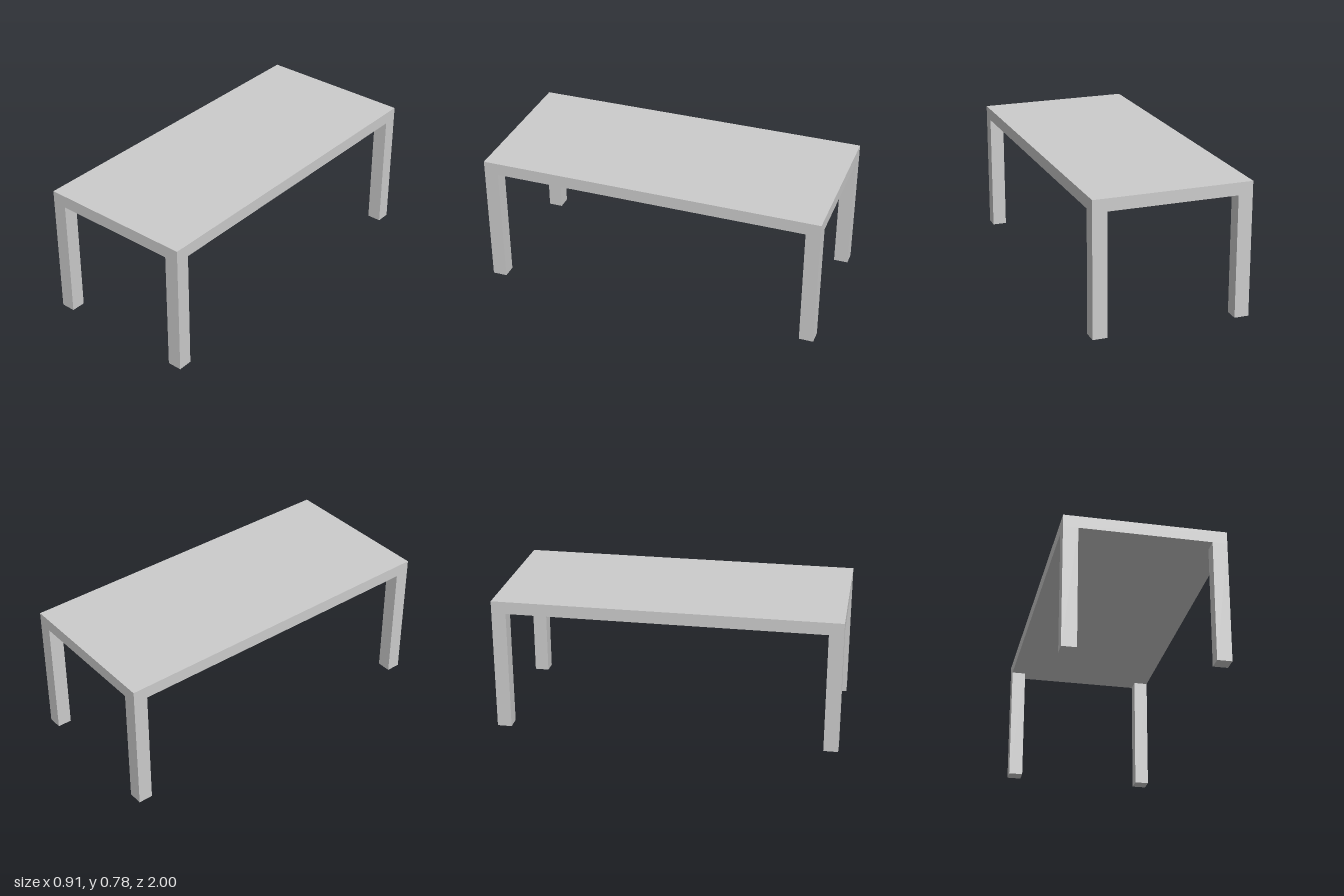
import * as THREE from 'three';

const WIDTH = 0.914, LENGTH = 2, HEIGHT = 0.783;
const TOP = 0.072; // tabletop thickness
const LEG = 0.084; // square leg side

export function createModel() {
  const group = new THREE.Group();
  group.name = 'table';
  const material = new THREE.MeshStandardMaterial({ color: 0xcccccc });

  // Flat slab top
  const tabletop = new THREE.Mesh(new THREE.BoxGeometry(WIDTH, TOP, LENGTH), material);
  tabletop.name = 'tabletop';
  tabletop.position.y = HEIGHT - TOP / 2;
  group.add(tabletop);

  // Four square legs, flush with the corners
  const legHeight = HEIGHT - TOP;
  const legGeometry = new THREE.BoxGeometry(LEG, legHeight, LEG);
  for (const [sx, side] of [[1, 'Left'], [-1, 'Right']]) {
    for (const [sz, end] of [[1, 'front'], [-1, 'back']]) {
      const leg = new THREE.Mesh(legGeometry, material);
      leg.name = `${end}${side}Leg`;
      leg.position.set(sx * (WIDTH - LEG) / 2, legHeight / 2, sz * (LENGTH - LEG) / 2);
      group.add(leg);
    }
  }
  return group;
}
